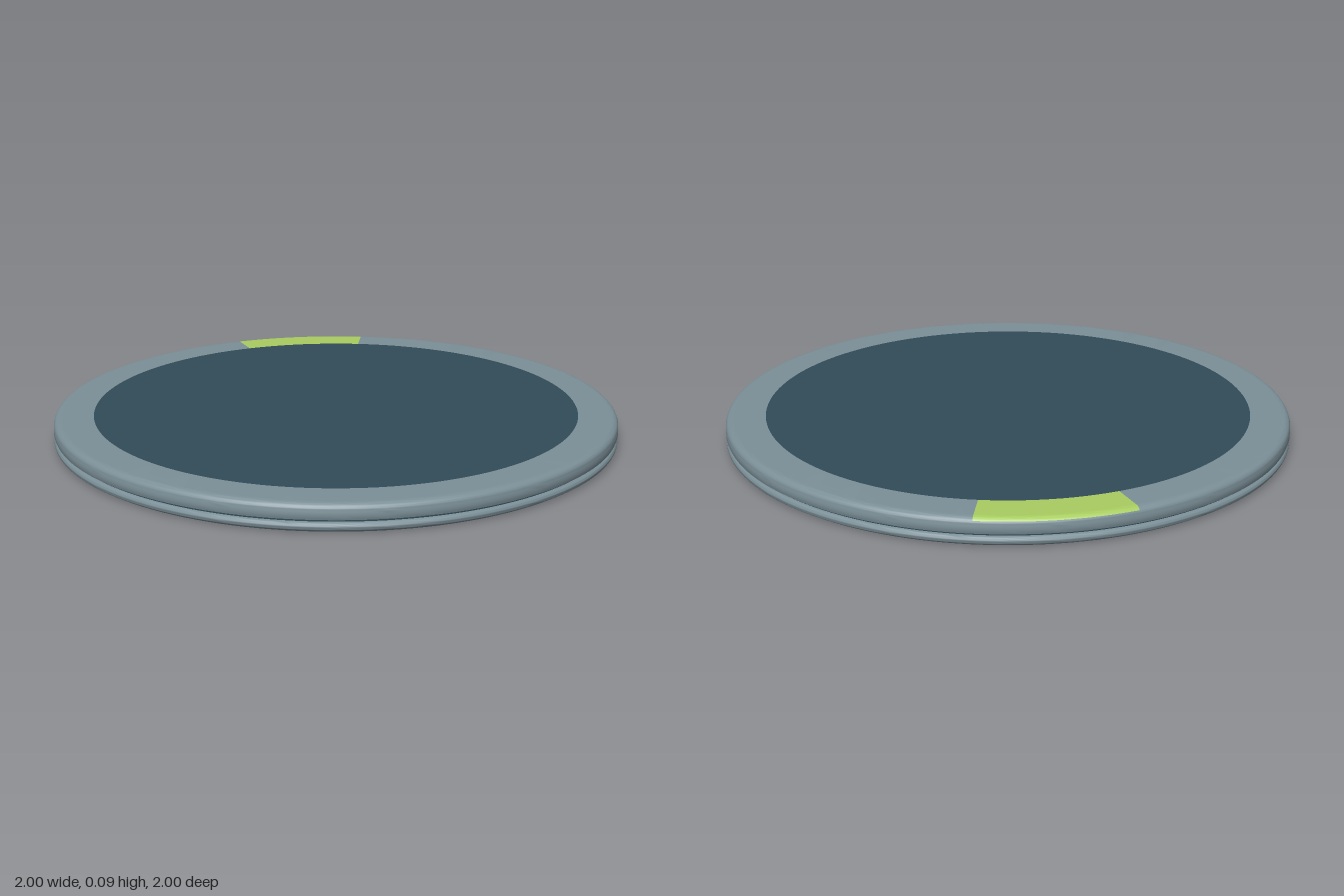
import * as THREE from 'three';
import { toCreasedNormals } from 'three/addons/utils/BufferGeometryUtils.js';

const GREY = 0x7b8f97, TEAL = 0x304b58, GREEN = 0xa8cc60;
const TOP = 0.095, INNER = 0.86, BEVEL = 0.025;
const MARK = Math.PI / 6; // angle covered by the coloured marker

// Points on a circular arc, angles in degrees
function arc(cx, cy, r, from, to, steps) {
  return Array.from({ length: steps + 1 }, (_, i) => {
    const a = THREE.MathUtils.degToRad(from + (to - from) * i / steps);
    return [cx + r * Math.cos(a), cy + r * Math.sin(a)];
  });
}

function turned(name, profile, color, start = 0, sweep = Math.PI * 2) {
  const points = profile.map(([r, y]) => new THREE.Vector2(r, y));
  const segments = Math.round(144 * sweep / (Math.PI * 2));
  const lathe = new THREE.LatheGeometry(points, segments, start, sweep);
  const mesh = new THREE.Mesh(toCreasedNormals(lathe, 0.6),
    new THREE.MeshStandardMaterial({ color, side: THREE.DoubleSide }));
  mesh.name = name;
  return mesh;
}

export function createModel() {
  const group = new THREE.Group();
  group.name = 'roundDisc';

  // Base plate with a rounded edge
  group.add(turned('basePlate',
    [[0, 0], [0.98, 0], [0.985, 0.005], ...arc(0.986, 0.02, 0.014, -80, 80, 10), [0.98, 0.034]], GREY));

  // Recessed band between the base and the upper ring
  group.add(turned('grooveBand', [[0.984, 0.028], [0.984, 0.047]], TEAL));

  // Upper ring: side wall and the lower part of its rounded edge
  const cx = 1 - BEVEL, cy = TOP - BEVEL;
  group.add(turned('ringWall',
    [[0.98, 0.041], [0.992, 0.041], [0.998, 0.044], [1, 0.049], [1, 0.06], ...arc(cx, cy, BEVEL, 0, 36, 4)], GREY));

  // Top of the ring, with the coloured marker filling the gap at the back
  const topProfile = [...arc(cx, cy, BEVEL, 36, 90, 6), [0.968, TOP], [INNER, TOP]];
  group.add(turned('ringTop', topProfile, GREY, Math.PI + MARK / 2, Math.PI * 2 - MARK));
  group.add(turned('marker', topProfile, GREEN, Math.PI - MARK / 2, MARK));

  // Flush central face
  group.add(turned('centreFace', [[INNER, TOP], [0, TOP]], TEAL));

  return group;
}
